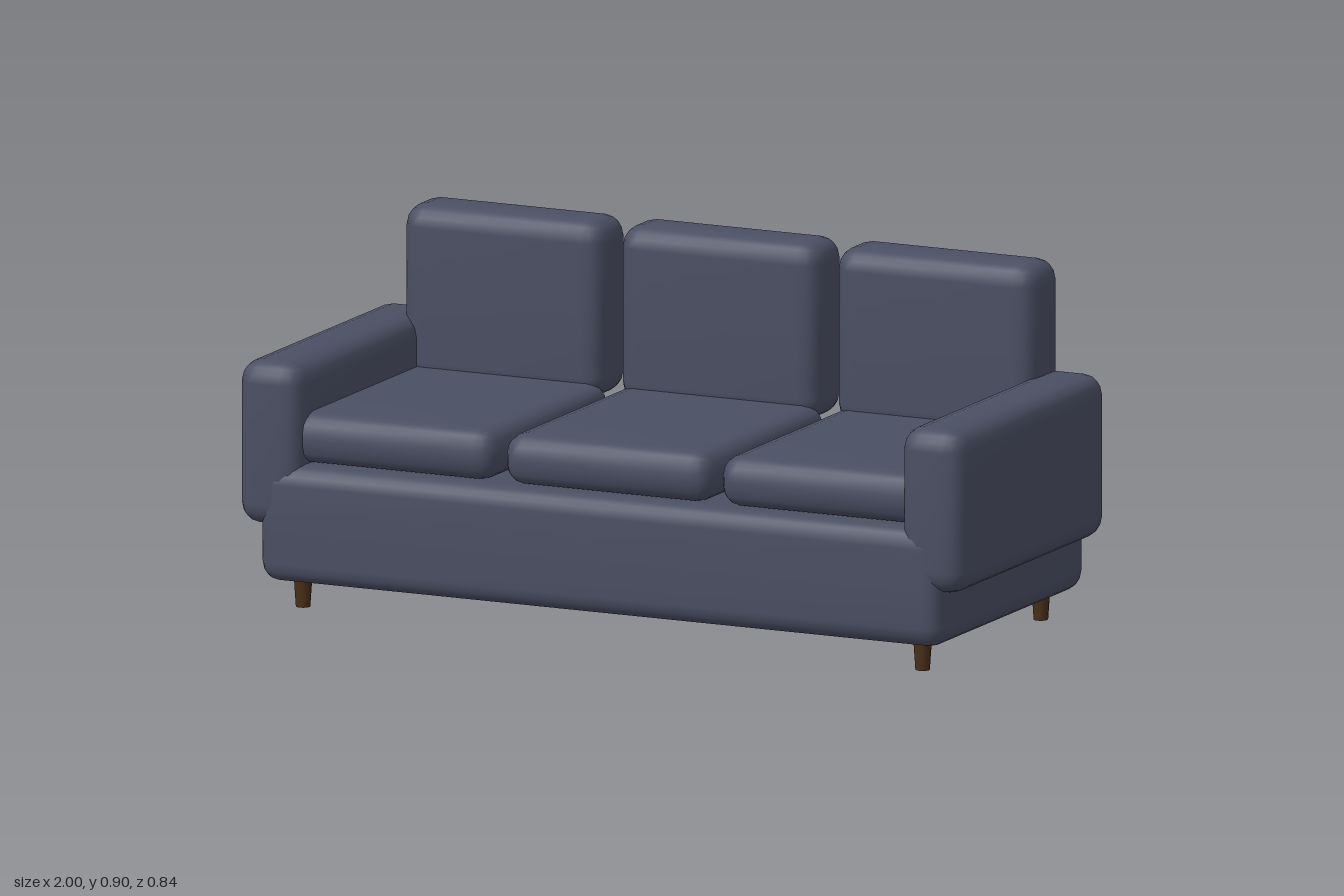
import * as THREE from 'three';
import { mergeVertices } from 'three/addons/utils/BufferGeometryUtils.js';

const fabric = new THREE.MeshStandardMaterial({ name: 'slate fabric', color: 0x4a4f63 });
const wood = new THREE.MeshStandardMaterial({ name: 'dark wood', color: 0x4a3018 });

// Soft upholstered box: low-segment rounded edges, a centre vertex on each face, optional crown on top
function softBox(w, h, d, r, crown = 0) {
  let g = new THREE.BoxGeometry(6, 6, 6, 6, 6, 6);
  g.deleteAttribute('uv');
  g.deleteAttribute('normal');
  const p = g.attributes.position;
  const core = [w / 2 - r, h / 2 - r, d / 2 - r];
  const n = new THREE.Vector3();
  for (let i = 0; i < p.count; i++) {
    const t = [p.getX(i), p.getY(i), p.getZ(i)].map(Math.round);
    n.fromArray(t.map(v => Math.sign(v) * Math.max(0, Math.abs(v) - 1) / 2)).normalize();
    const c = t.map((v, k) => THREE.MathUtils.clamp(v, -1, 1) * core[k]);
    const lift = t[1] === 3 && t[0] === 0 && t[2] === 0 ? crown : 0;
    p.setXYZ(i, c[0] + n.x * r, c[1] + n.y * r + lift, c[2] + n.z * r);
  }
  g = mergeVertices(g, 1e-5);
  g.computeVertexNormals();
  return g;
}

export function createModel() {
  const sofa = new THREE.Group();
  sofa.name = 'sofa';

  function add(name, geometry, material, x, y, z) {
    const mesh = new THREE.Mesh(geometry, material);
    mesh.name = name;
    mesh.position.set(x, y, z);
    sofa.add(mesh);
  }

  // Base
  add('base', softBox(1.88, 0.3, 0.84, 0.05), fabric, 0, 0.22, 0);

  // Seat and back cushions
  const seat = softBox(0.57, 0.13, 0.69, 0.052, 0.006);
  const back = softBox(0.552, 0.45, 0.176, 0.055);
  for (const x of [-0.595, 0, 0.595]) {
    add('seatCushion', seat, fabric, x, 0.433, 0.04);
    add('backCushion', back, fabric, x, 0.68, -0.332);
  }

  // Arms and tapered legs
  const arm = softBox(0.176, 0.415, 0.836, 0.055);
  const leg = new THREE.CylinderGeometry(0.024, 0.018, 0.09, 12);
  for (const side of [-1, 1]) {
    add(side > 0 ? 'leftArm' : 'rightArm', arm, fabric, side * 0.912, 0.417, 0);
    for (const end of [-1, 1]) {
      add(end > 0 ? 'frontLeg' : 'backLeg', leg, wood, side * 0.853, 0.045, end * 0.332);
    }
  }
  return sofa;
}
